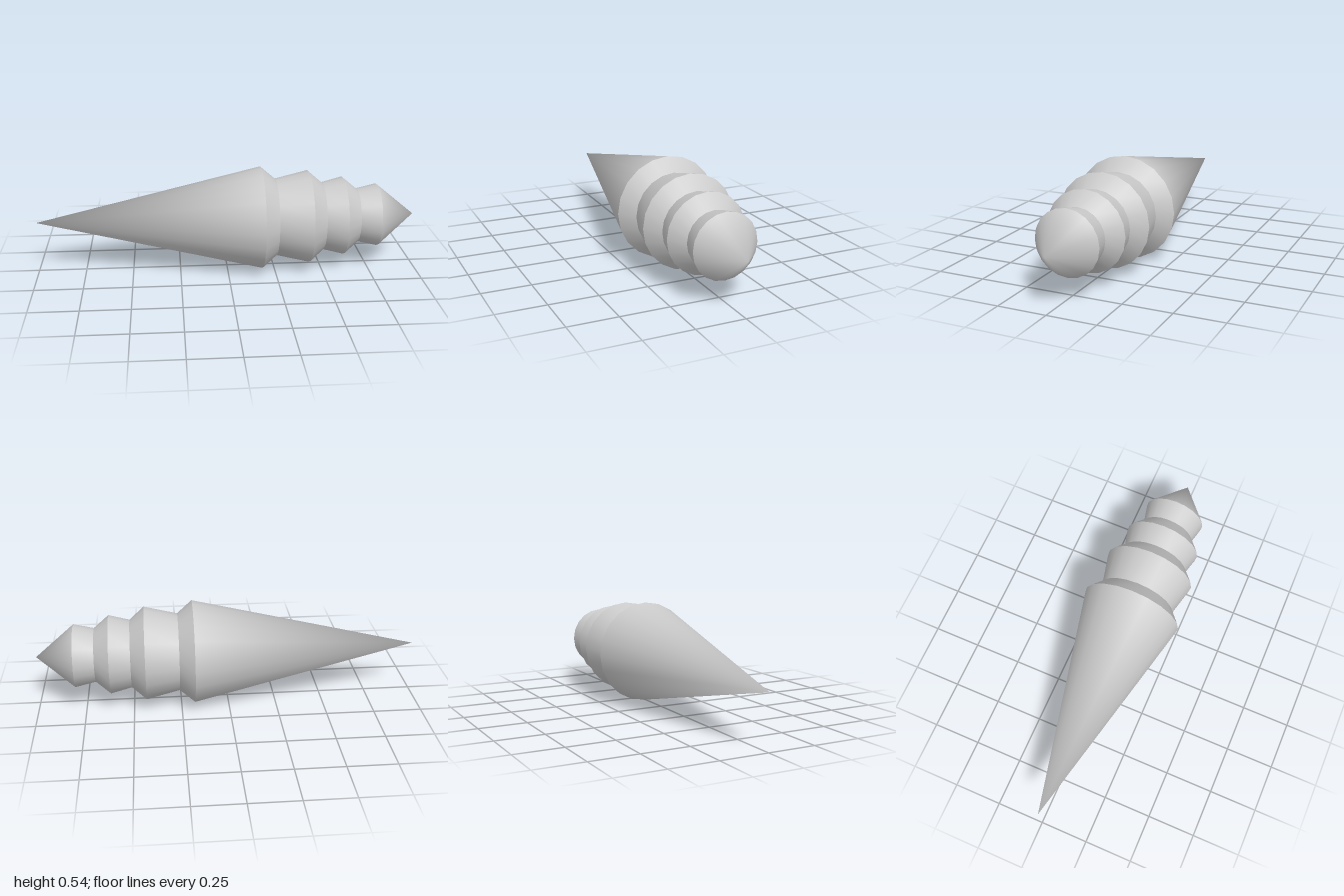
import * as THREE from 'three';
import { mergeVertices } from 'three/addons/utils/BufferGeometryUtils.js';

const SIDES = 20;
const AXIS_HEIGHT = 0.27;

// Stations along the long axis: [part that starts here, x, radius]
const PROFILE = [
  ['longCone', -1, 0],
  ['firstShoulder', 0.182, 0.27],
  ['firstRing', 0.259, 0.204],
  ['secondShoulder', 0.433, 0.245],
  ['secondRing', 0.508, 0.179],
  ['thirdShoulder', 0.617, 0.207],
  ['thirdRing', 0.694, 0.142],
  ['noseCone', 0.8, 0.166],
  ['noseTip', 1, 0],
];

// Open conical band along x, smooth around and welded at a pointed end
function band(x0, r0, x1, r1) {
  const geometry = new THREE.CylinderGeometry(r1, r0, x1 - x0, SIDES, 1, true);
  geometry.rotateZ(-Math.PI / 2);
  geometry.deleteAttribute('normal');
  geometry.deleteAttribute('uv');
  const welded = mergeVertices(geometry, 1e-4);
  welded.computeVertexNormals();
  return welded;
}

export function createModel() {
  const model = new THREE.Group();
  model.name = 'ringedSpike';
  const material = new THREE.MeshStandardMaterial({ color: 0xcccccc });

  // Each band is its own mesh, so the ridges and grooves stay sharp
  for (let i = 0; i < PROFILE.length - 1; i++) {
    const [name, x0, r0] = PROFILE[i];
    const [, x1, r1] = PROFILE[i + 1];
    const mesh = new THREE.Mesh(band(x0, r0, x1, r1), material);
    mesh.name = name;
    mesh.position.set((x0 + x1) / 2, AXIS_HEIGHT, 0);
    model.add(mesh);
  }
  return model;
}
